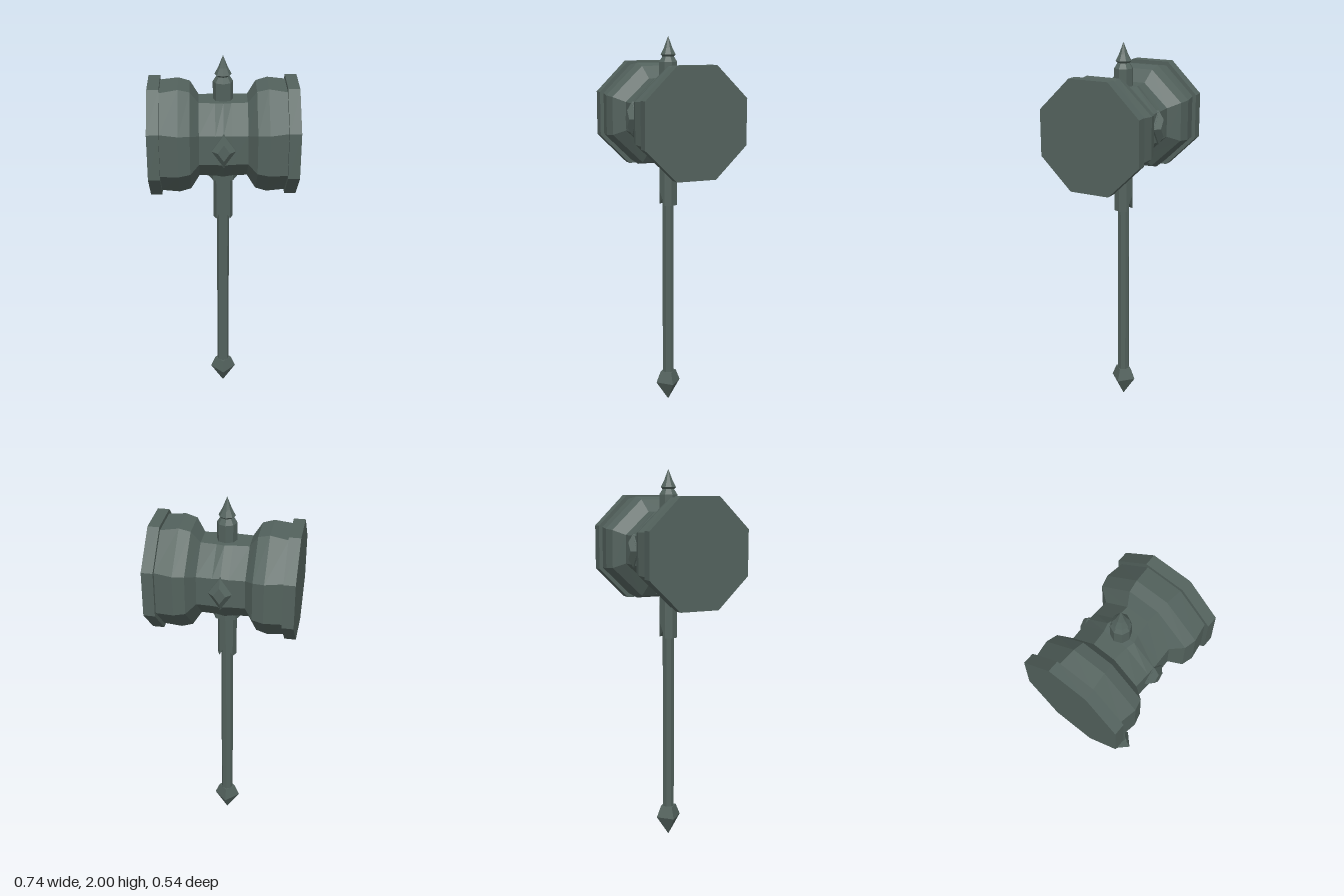
import * as THREE from 'three';

const steel = new THREE.MeshStandardMaterial({ color: 0x53625d });
steel.name = 'dark steel';
steel.flatShading = true;

const HEAD_Y = 1.585;

// Octagonal loft along x; each ring is [x, halfHeight, halfDepth, cornerY, cornerZ]
function loftHead(rings) {
  const loops = rings.map(([x, h, d, cy, cz]) => [
    [h, -cz], [h, cz], [cy, d], [-cy, d], [-h, cz], [-h, -cz], [-cy, -d], [cy, -d],
  ].map(([y, z]) => [x, y, z]));
  const pos = [];
  const tri = (...pts) => pts.forEach((p) => pos.push(...p));
  const first = loops[0];
  const last = loops[loops.length - 1];
  for (let j = 0; j < 8; j++) {
    const k = (j + 1) % 8;
    for (let i = 0; i + 1 < loops.length; i++) {
      const a = loops[i];
      const b = loops[i + 1];
      tri(a[j], a[k], b[j]);
      tri(a[k], b[k], b[j]);
    }
    tri([last[0][0], 0, 0], last[j], last[k]);
    tri([first[0][0], 0, 0], first[k], first[j]);
  }
  const geometry = new THREE.BufferGeometry();
  geometry.setAttribute('position', new THREE.Float32BufferAttribute(pos, 3));
  geometry.computeVertexNormals();
  return geometry;
}

// Faceted turned part from [radius, y] pairs, bottom to top
function turned(profile, sides) {
  return new THREE.LatheGeometry(profile.map(([r, y]) => new THREE.Vector2(r, y)), sides);
}

export function createModel() {
  const model = new THREE.Group();
  model.name = 'warHammer';
  const add = (name, geometry) => {
    const mesh = new THREE.Mesh(geometry, steel);
    mesh.name = name;
    model.add(mesh);
    return mesh;
  };

  // Hammer head: waist, bulging drums and striking plates, mirrored in x
  const half = [
    [0.04, 0.195, 0.193, 0.075, 0.066],
    [0.12, 0.195, 0.19, 0.075, 0.06],
    [0.163, 0.258, 0.25, 0.1, 0.082],
    [0.22, 0.273, 0.265, 0.105, 0.088],
    [0.31, 0.26, 0.25, 0.11, 0.095],
    [0.31, 0.28, 0.27, 0.117, 0.105],
    [0.368, 0.28, 0.27, 0.117, 0.105],
  ];
  const mirrored = half.map(([x, ...rest]) => [-x, ...rest]).reverse();
  const middle = [0, 0.197, 0.195, 0.078, 0.077];
  add('hammerHead', loftHead([...mirrored, middle, ...half])).position.y = HEAD_Y;

  // Bevelled diamond studs on front and back
  for (const side of [1, -1]) {
    const stud = new THREE.CylinderGeometry(0.03, 0.06, 0.027, 4);
    stud.rotateX(Math.PI / 2);
    stud.translate(0, 0, 0.2135);
    const base = new THREE.CylinderGeometry(0.06, 0.06, 0.03, 4);
    base.rotateX(Math.PI / 2);
    base.translate(0, 0, 0.186);
    for (const [name, geometry] of [['diamondStud', stud], ['diamondBase', base]]) {
      const mesh = add(name, geometry);
      mesh.scale.y = 1.45;
      mesh.position.y = HEAD_Y;
      if (side < 0) mesh.rotation.y = Math.PI;
    }
  }

  // Socket through the head, its lower rim notched front and back
  const socket = new THREE.CylinderGeometry(0.05, 0.05, 0.75, 8);
  socket.translate(0, 1.495, 0);
  const p = socket.attributes.position;
  for (let i = 0; i < p.count; i++) {
    if (p.getY(i) < 1.2 && Math.abs(p.getX(i)) < 0.01) p.setY(i, 1.2);
  }
  add('socket', socket);

  // Collar below the head
  const collar = new THREE.CylinderGeometry(0.072, 0.072, 0.05, 8);
  collar.translate(0, 1.38, 0);
  add('collar', collar);

  // Top cap and spike
  add('topCap', turned([[0.05, 1.87], [0.03, 1.9], [0, 1.9]], 8));
  add('spike', turned([[0, 1.895], [0.03, 1.895], [0.042, 1.907], [0.024, 1.94], [0, 2]], 8));

  // Shaft and four-sided pommel
  const shaft = new THREE.CylinderGeometry(0.032, 0.032, 1.15, 8);
  shaft.translate(0, 0.705, 0);
  add('shaft', shaft);
  add('pommel', turned([[0, 0.003], [0.07, 0.11], [0.045, 0.172], [0, 0.172]], 4));

  return model;
}
